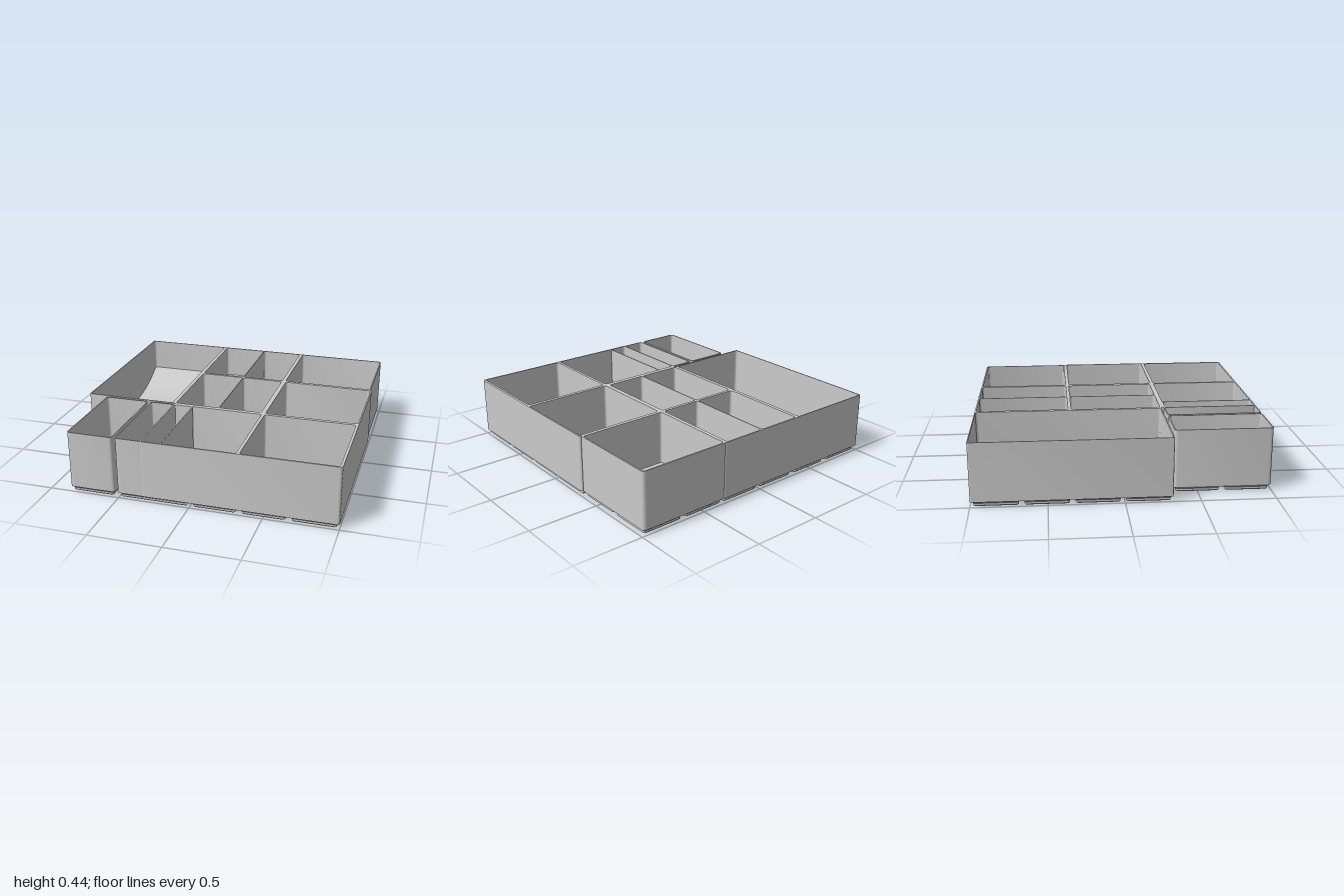
import * as THREE from 'three';
import { toCreasedNormals, mergeGeometries } from 'three/addons/utils/BufferGeometryUtils.js';

const TOP = 0.44, BASE = 0.036, FLOOR = 0.055, PITCH = 1 / 3;

// corners of a rectangle on the ground plane
const rect = (x0, x1, z0, z1) => [[x0, z0], [x1, z0], [x1, z1], [x0, z1]];

// closed outline with rounded corners, drawn in (x, -z)
function rounded(pts, r, Type = THREE.Shape) {
  const s = new Type();
  pts.forEach((p, i) => {
    const v = new THREE.Vector2(p[0], -p[1]);
    const toward = (q) => new THREE.Vector2(q[0], -q[1]).sub(v).setLength(r).add(v);
    const a = toward(pts[(i + pts.length - 1) % pts.length]);
    const b = toward(pts[(i + 1) % pts.length]);
    if (i) s.lineTo(a.x, a.y); else s.moveTo(a.x, a.y);
    s.quadraticCurveTo(v.x, v.y, b.x, b.y);
  });
  s.closePath();
  return s;
}

// upright slab between two heights; pockets run opposite to the outline so their walls face inwards
function slab(outline, radius, pockets, y0, y1) {
  const s = rounded(outline, radius);
  s.holes = pockets.map((p) => rounded([...p].reverse(), 0.018, THREE.Path));
  const g = new THREE.ExtrudeGeometry(s, { depth: y1 - y0, bevelEnabled: false, curveSegments: 5 });
  return toCreasedNormals(g.rotateX(-Math.PI / 2).translate(0, y0, 0), 0.6);
}

// stepped foot: rounded square rings joined from the bottom up
function footGeometry() {
  const rings = [[0.139, 0, 0.01], [0.146, 0.007, 0.015], [0.146, 0.021, 0.015], [0.163, 0.037, 0.026]]
    .map(([h, y, r]) => rounded(rect(-h, h, -h, h), r).getPoints(4).slice(0, -1)
      .map((p) => [p.x, y, -p.y]));
  const pos = [], n = rings[0].length;
  for (let i = 0; i < n; i++) {
    const j = (i + 1) % n;
    pos.push(0, 0, 0, ...rings[0][i], ...rings[0][j]);
    for (let k = 0; k < 3; k++) {
      const a = rings[k][i], b = rings[k][j], c = rings[k + 1][j], d = rings[k + 1][i];
      pos.push(...a, ...c, ...b, ...a, ...d, ...c);
    }
  }
  const g = new THREE.BufferGeometry();
  g.setAttribute('position', new THREE.Float32BufferAttribute(pos, 3));
  g.computeVertexNormals();
  return g;
}

// concave ramp rising from the floor to the back wall
function rampGeometry(x0, x1) {
  const run = 0.5, rise = 0.145, back = -0.992;
  const R = (run * run + rise * rise) / (2 * rise);
  const s = new THREE.Shape();
  s.moveTo(-back, FLOOR - 0.002);
  s.lineTo(-back - run, FLOOR - 0.002);
  for (let i = 0; i <= 20; i++) {
    const d = (run * i) / 20;
    s.lineTo(-back - run + d, FLOOR + R - Math.sqrt(R * R - d * d));
  }
  s.closePath();
  const g = new THREE.ExtrudeGeometry(s, { depth: x1 - x0, bevelEnabled: false });
  return toCreasedNormals(g.rotateY(Math.PI / 2).translate(x0, 0, 0), 0.4);
}

export function createModel() {
  const model = new THREE.Group();
  model.name = 'organizerTray';
  const grey = new THREE.MeshStandardMaterial({ color: 0xcacaca });
  grey.name = 'grey';
  const foot = footGeometry();

  const add = (parent, name, geometry) => {
    const m = new THREE.Mesh(geometry, grey);
    m.name = name;
    parent.add(m);
  };

  // one bin: pocketed walls, floor slab and a set of feet
  function bin(name, outline, radius, pockets, feet) {
    const g = new THREE.Group();
    g.name = name;
    add(g, 'walls', slab(outline, radius, pockets, BASE, TOP));
    add(g, 'floor', slab(outline, radius, [], BASE, FLOOR));
    add(g, 'feet', mergeGeometries(feet.map(([x, z]) => foot.clone().translate(x, 0, z))));
    model.add(g);
    return g;
  }

  // foot centres for a block of grid cells
  const cells = (i0, i1, j0, j1) => {
    const out = [];
    for (let i = i0; i <= i1; i++)
      for (let j = j0; j <= j1; j++) out.push([-1 + (i + 0.5) * PITCH, -1 + (j + 0.5) * PITCH]);
    return out;
  };

  // large rear bin: long pocket plus four small ones
  const rear = bin('rearBin', rect(-1, 0.328, -1, 0.316), 0.01, [
    rect(-0.993, -0.352, -0.993, 0.308),
    rect(-0.325, -0.003, -0.99, -0.347), rect(0.003, 0.308, -0.99, -0.347),
    rect(-0.325, -0.003, -0.325, 0.308), rect(0.003, 0.308, -0.325, 0.308),
  ], cells(0, 3, 0, 3).map(([x, z]) => [x, z * 0.99 - 0.01]));
  add(rear, 'longPocketRamp', rampGeometry(-0.995, -0.35));
  add(rear, 'smallPocketRamp', rampGeometry(-0.327, -0.001));

  // rear corner bin, butted against its neighbours
  bin('cornerBin', rect(0.312, 0.988, -0.998, -0.322), 0.026,
    [rect(0.335, 0.979, -0.988, -0.348)], cells(4, 5, 0, 1).map(([x, z]) => [x - 0.01, z]));

  // L-shaped front bin with three pockets
  bin('frontBin', [[0.314, -0.335], [1, -0.335], [1, 1], [-0.334, 1], [-0.334, 0.314], [0.314, 0.314]], 0.02, [
    rect(0.342, 0.99, -0.322, 0.316),
    rect(0.342, 0.982, 0.342, 0.988),
    rect(-0.325, 0.32, 0.342, 0.99),
  ], [...cells(2, 5, 4, 5), ...cells(4, 5, 2, 3)]);

  // two narrow bins, the inner one overlapping the front bin
  [['narrowOuterBin', -0.69], ['narrowInnerBin', -0.346]].forEach(([name, x]) => {
    bin(name, rect(x - 0.163, x + 0.163, 0.336, 0.998), 0.026,
      [rect(x - 0.155, x + 0.155, 0.345, 0.99)], [[x, 0.5], [x, 0.833]]);
  });

  return model;
}
